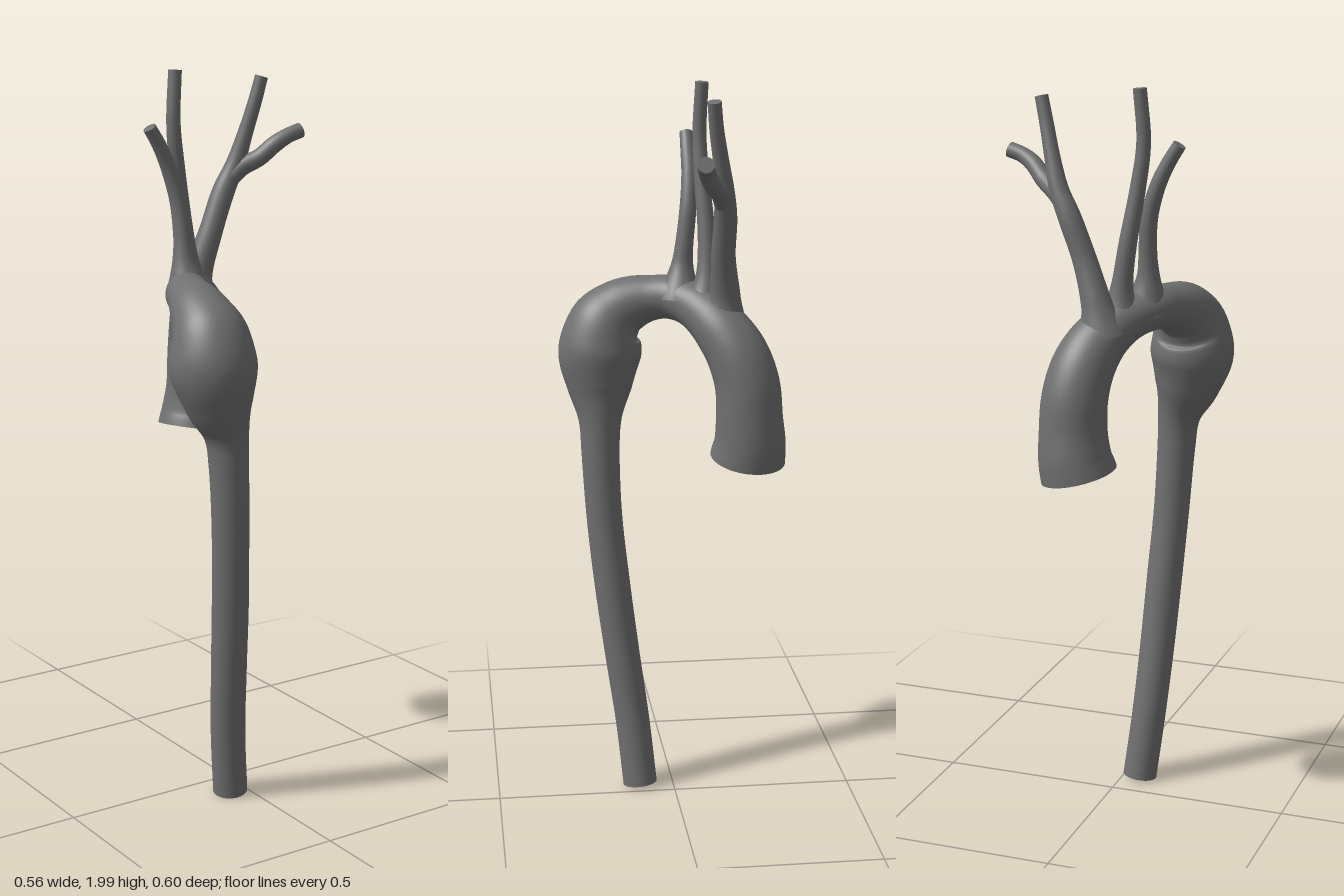
import * as THREE from 'three';

// Closed tube of varying radius through stations [x, y, z, radius], with flat ends
function vesselGeometry(stations, rings, sides) {
  const curve = new THREE.CatmullRomCurve3(stations.map(([x, y, z]) => new THREE.Vector3(x, y, z)));
  const radii = new THREE.SplineCurve(stations.map((s, i) => new THREE.Vector2(i, s[3])));
  const { normals, binormals } = curve.computeFrenetFrames(rings, false);
  const pos = [], index = [];

  const addRing = (i) => {
    const first = pos.length / 3;
    const t = curve.getUtoTmapping(i / rings);
    const centre = curve.getPoint(t), r = radii.getPoint(t).y;
    for (let j = 0; j < sides; j++) {
      const a = (j / sides) * Math.PI * 2;
      const p = centre.clone()
        .addScaledVector(normals[i], r * Math.cos(a))
        .addScaledVector(binormals[i], r * Math.sin(a));
      pos.push(p.x, p.y, p.z);
    }
    return first;
  };

  // Wall
  for (let i = 0; i <= rings; i++) addRing(i);
  for (let i = 0; i < rings; i++) {
    for (let j = 0; j < sides; j++) {
      const k = (j + 1) % sides;
      const a = i * sides + j, b = i * sides + k;
      index.push(a, b, a + sides, b, b + sides, a + sides);
    }
  }

  // Flat caps with their own vertices, so the rims stay sharp
  for (const i of [0, rings]) {
    const first = addRing(i);
    const c = curve.getPointAt(i / rings);
    const centre = pos.length / 3;
    pos.push(c.x, c.y, c.z);
    for (let j = 0; j < sides; j++) {
      const a = first + j, b = first + ((j + 1) % sides);
      if (i === 0) index.push(centre, b, a);
      else index.push(centre, a, b);
    }
  }

  const geometry = new THREE.BufferGeometry();
  geometry.setAttribute('position', new THREE.Float32BufferAttribute(pos, 3));
  geometry.setIndex(index);
  geometry.computeVertexNormals();
  return geometry;
}

export function createModel() {
  const group = new THREE.Group();
  group.name = 'aorticArch';
  const material = new THREE.MeshStandardMaterial({ color: 0x707070 });

  const addVessel = (name, stations, rings, sides) => {
    const mesh = new THREE.Mesh(vesselGeometry(stations, rings, sides), material);
    mesh.name = name;
    group.add(mesh);
  };

  // Main vessel: ascending part, arch, bulge, then the long descending part
  addVessel('aorta', [
    [0.023, 0.993, -0.198, 0.103],
    [0.032, 1.035, -0.202, 0.098],
    [0.038, 1.11, -0.199, 0.091],
    [0.035, 1.2, -0.193, 0.088],
    [0.02, 1.28, -0.168, 0.084],
    [-0.01, 1.345, -0.127, 0.076],
    [-0.05, 1.387, -0.085, 0.067],
    [-0.088, 1.408, -0.045, 0.061],
    [-0.122, 1.416, 0.0, 0.06],
    [-0.14, 1.412, 0.043, 0.062],
    [-0.154, 1.4, 0.09, 0.072],
    [-0.162, 1.378, 0.133, 0.084],
    [-0.165, 1.335, 0.172, 0.103],
    [-0.165, 1.255, 0.19, 0.115],
    [-0.15, 1.16, 0.193, 0.09],
    [-0.128, 1.075, 0.194, 0.06],
    [-0.12, 0.98, 0.194, 0.053],
    [-0.11, 0.8, 0.186, 0.05],
    [-0.097, 0.6, 0.166, 0.05],
    [-0.085, 0.4, 0.141, 0.049],
    [-0.07, 0.2, 0.114, 0.048],
    [-0.05, 0.013, 0.095, 0.048],
  ], 180, 48);

  // Three branches rising from the arch, flared where they join it
  addVessel('rightBranch', [
    [-0.102, 1.41, -0.025, 0.064],
    [-0.11, 1.47, -0.03, 0.042],
    [-0.113, 1.51, -0.034, 0.03],
    [-0.113, 1.56, -0.039, 0.025],
    [-0.12, 1.66, -0.05, 0.023],
    [-0.146, 1.75, -0.056, 0.021],
    [-0.175, 1.81, -0.055, 0.019],
    [-0.203, 1.855, -0.055, 0.018],
  ], 56, 24);

  addVessel('middleBranch', [
    [-0.055, 1.4, -0.085, 0.056],
    [-0.058, 1.46, -0.092, 0.035],
    [-0.064, 1.51, -0.095, 0.027],
    [-0.077, 1.6, -0.095, 0.024],
    [-0.1, 1.74, -0.085, 0.021],
    [-0.114, 1.86, -0.08, 0.019],
    [-0.105, 1.998, -0.085, 0.018],
  ], 56, 24);

  addVessel('leftBranch', [
    [-0.022, 1.36, -0.13, 0.068],
    [-0.007, 1.435, -0.136, 0.043],
    [0.03, 1.55, -0.126, 0.033],
    [0.072, 1.66, -0.125, 0.031],
    [0.106, 1.735, -0.117, 0.026],
    [0.13, 1.82, -0.103, 0.021],
    [0.15, 1.9, -0.089, 0.019],
    [0.167, 1.97, -0.081, 0.018],
  ], 56, 24);

  // Side branch leaving the left branch
  addVessel('leftSideBranch', [
    [0.083, 1.69, -0.121, 0.026],
    [0.12, 1.728, -0.106, 0.026],
    [0.16, 1.752, -0.082, 0.024],
    [0.2, 1.79, -0.06, 0.023],
    [0.233, 1.81, -0.05, 0.021],
    [0.272, 1.823, -0.046, 0.021],
  ], 40, 24);

  return group;
}
